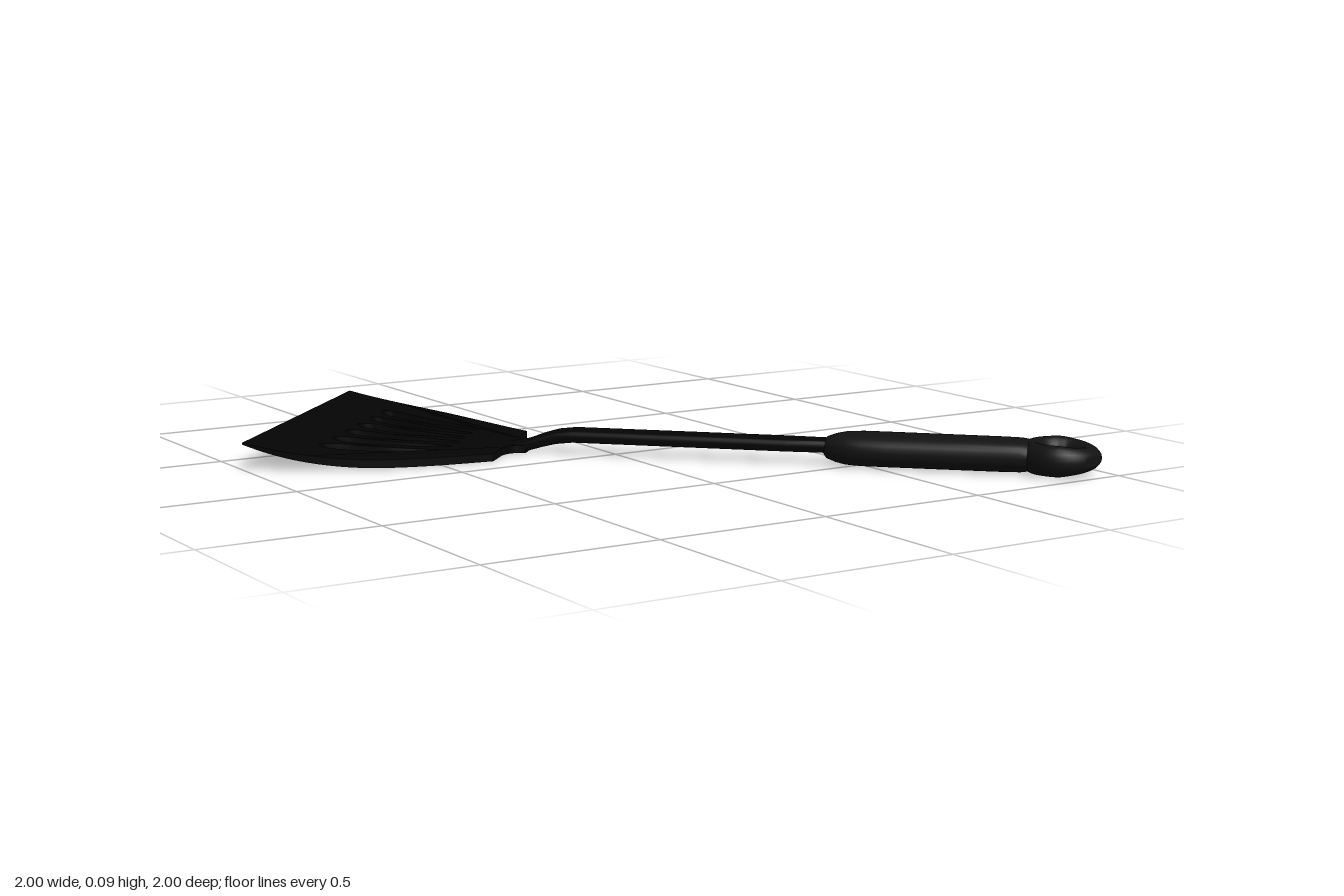
import * as THREE from 'three';
import { toCreasedNormals } from 'three/addons/utils/BufferGeometryUtils.js';

const blackPlastic = new THREE.MeshStandardMaterial({ color: 0x040404 });
const gripPlastic = new THREE.MeshStandardMaterial({ color: 0x121212 });

// Blade top and bottom heights: flat at the back, curling up and thinning to the front edge
const curl = (z) => Math.max(0, (-0.3 - z) / 0.655);
const bladeTop = (z) => 0.026 + 0.054 * curl(z) ** 2.7;
const bladeBottom = (z) => 0.004 + 0.071 * curl(z) ** 3.3;

// Joins closed cross-sections (arrays of [x, y, z], counter-clockwise seen from +z) and caps the ends
function loft(sections, crease) {
  const n = sections[0].length;
  const pos = sections.flat(2);
  const idx = [];
  for (let i = 0; i < sections.length - 1; i++) {
    for (let j = 0; j < n; j++) {
      const a = i * n + j, b = i * n + (j + 1) % n;
      idx.push(a, b, b + n, a, b + n, a + n);
    }
  }
  const last = (sections.length - 1) * n;
  for (let j = 1; j < n - 1; j++) {
    idx.push(0, j + 1, j, last, last + j, last + j + 1);
  }
  const g = new THREE.BufferGeometry();
  g.setAttribute('position', new THREE.Float32BufferAttribute(pos, 3));
  g.setIndex(idx);
  return toCreasedNormals(g, crease);
}

// Rounded cross-section; a larger power makes it squarer
function oval(z, y, w, h, power, n = 32) {
  const bend = (c) => Math.sign(c) * Math.abs(c) ** (2 / power);
  return Array.from({ length: n }, (_, i) => {
    const a = (i / n) * Math.PI * 2;
    return [w * bend(Math.cos(a)), y + h * bend(Math.sin(a)), z];
  });
}

function add(group, name, geometry, material) {
  const mesh = new THREE.Mesh(geometry, material);
  mesh.name = name;
  group.add(mesh);
  return mesh;
}

// Teardrop slot between two tips, wide towards the front edge
function slot(outerX, innerX) {
  const outer = new THREE.Vector2(outerX, 0.792), inner = new THREE.Vector2(innerX, 0.456);
  const along = inner.clone().sub(outer);
  const across = new THREE.Vector2(-along.y, along.x).normalize();
  const at = (t, w) => outer.clone().addScaledVector(along, t).addScaledVector(across, w);
  const widths = [[0.025, 0.018], [0.08, 0.029], [0.2, 0.035], [0.4, 0.032], [0.7, 0.022], [0.93, 0.014], [0.98, 0.009]];
  const points = [
    outer, ...widths.map(([t, w]) => at(t, w)),
    inner, ...widths.map(([t, w]) => at(t, -w)).reverse(), outer,
  ];
  return new THREE.Path(new THREE.SplineCurve(points).getPoints(48).slice(0, -1));
}

export function createModel() {
  const model = new THREE.Group();
  model.name = 'spatula';
  const tool = new THREE.Group();
  tool.name = 'tool';
  tool.rotation.y = Math.PI / 4;
  model.add(tool);

  // Side edge of the blade as (x, z), front corner to back corner
  const side = new THREE.SplineCurve([
    [0.46, -0.955], [0.445, -0.8], [0.397, -0.63], [0.303, -0.474], [0.184, -0.311],
  ].map(([x, z]) => new THREE.Vector2(x, z))).getPoints(24);

  // Solid curled front of the blade
  const lip = side.slice(0, 7).map(({ x, y: z }) => [
    [x, bladeBottom(z), z], [x, bladeTop(z), z], [-x, bladeTop(z), z], [-x, bladeBottom(z), z],
  ]);
  add(tool, 'bladeLip', loft(lip, 0.6), blackPlastic);

  // Slotted back of the blade, with a filleted neck; the outline runs counter-clockwise
  const half = side.slice(6).map((p) => new THREE.Vector2(p.x, -p.y));
  const fillet = new THREE.QuadraticBezierCurve(
    new THREE.Vector2(0.1, 0.311), new THREE.Vector2(0.045, 0.302), new THREE.Vector2(0.042, 0.255));
  half.push(...fillet.getPoints(8));
  const mirrored = half.map((p) => new THREE.Vector2(-p.x, p.y));
  const outline = new THREE.Shape([...mirrored, ...half.reverse()]);
  for (const [outer, inner] of [[0.288, 0.175], [0.173, 0.104], [0.057, 0.034]]) {
    outline.holes.push(slot(outer, inner), slot(-outer, -inner));
  }
  const plate = new THREE.ExtrudeGeometry(outline, { depth: 1, bevelEnabled: false });
  plate.rotateX(-Math.PI / 2);
  const p = plate.attributes.position;
  for (let i = 0; i < p.count; i++) {
    p.setY(i, p.getY(i) > 0.5 ? bladeTop(p.getZ(i)) : bladeBottom(p.getZ(i)));
  }
  add(tool, 'slottedBlade', toCreasedNormals(plate, 0.6), blackPlastic);

  // Flat shaft rising from the blade: z, centre height, half width, half height
  const shaft = [
    [-0.34, 0.016, 0.03, 0.009], [-0.3, 0.017, 0.04, 0.012], [-0.26, 0.021, 0.042, 0.016],
    [-0.21, 0.038, 0.042, 0.018], [-0.17, 0.049, 0.042, 0.019], [-0.12, 0.055, 0.042, 0.019],
    [0.5, 0.055, 0.042, 0.019], [0.58, 0.055, 0.036, 0.019], [0.66, 0.055, 0.034, 0.019],
  ].map((s) => oval(...s, 4));
  add(tool, 'shaft', loft(shaft, 0.7), blackPlastic);

  // Rounded grip: z, half width, half height
  const grip = [
    [0.602, 0.028, 0.02], [0.61, 0.042, 0.03], [0.635, 0.056, 0.039], [0.665, 0.069, 0.045],
    [0.71, 0.077, 0.047], [0.78, 0.079, 0.047], [0.95, 0.076, 0.047], [1.1, 0.072, 0.047],
    [1.15, 0.071, 0.046], [1.18, 0.068, 0.041], [1.205, 0.058, 0.024],
  ].map(([z, w, h]) => oval(z, 0.05, w, h, 2.4));
  add(tool, 'grip', loft(grip, 1), gripPlastic);

  // Hanging ring at the end of the grip, thinning towards its tip
  const ring = new THREE.TorusGeometry(0.08, 0.032, 20, 48).rotateX(Math.PI / 2);
  const r = ring.attributes.position;
  for (let i = 0; i < r.count; i++) {
    r.setY(i, r.getY(i) * (1.36 - 4.5 * Math.max(0, r.getZ(i))));
  }
  add(tool, 'hangingRing', toCreasedNormals(ring, 1), gripPlastic).position.set(0, 0.05, 1.256);

  return model;
}
